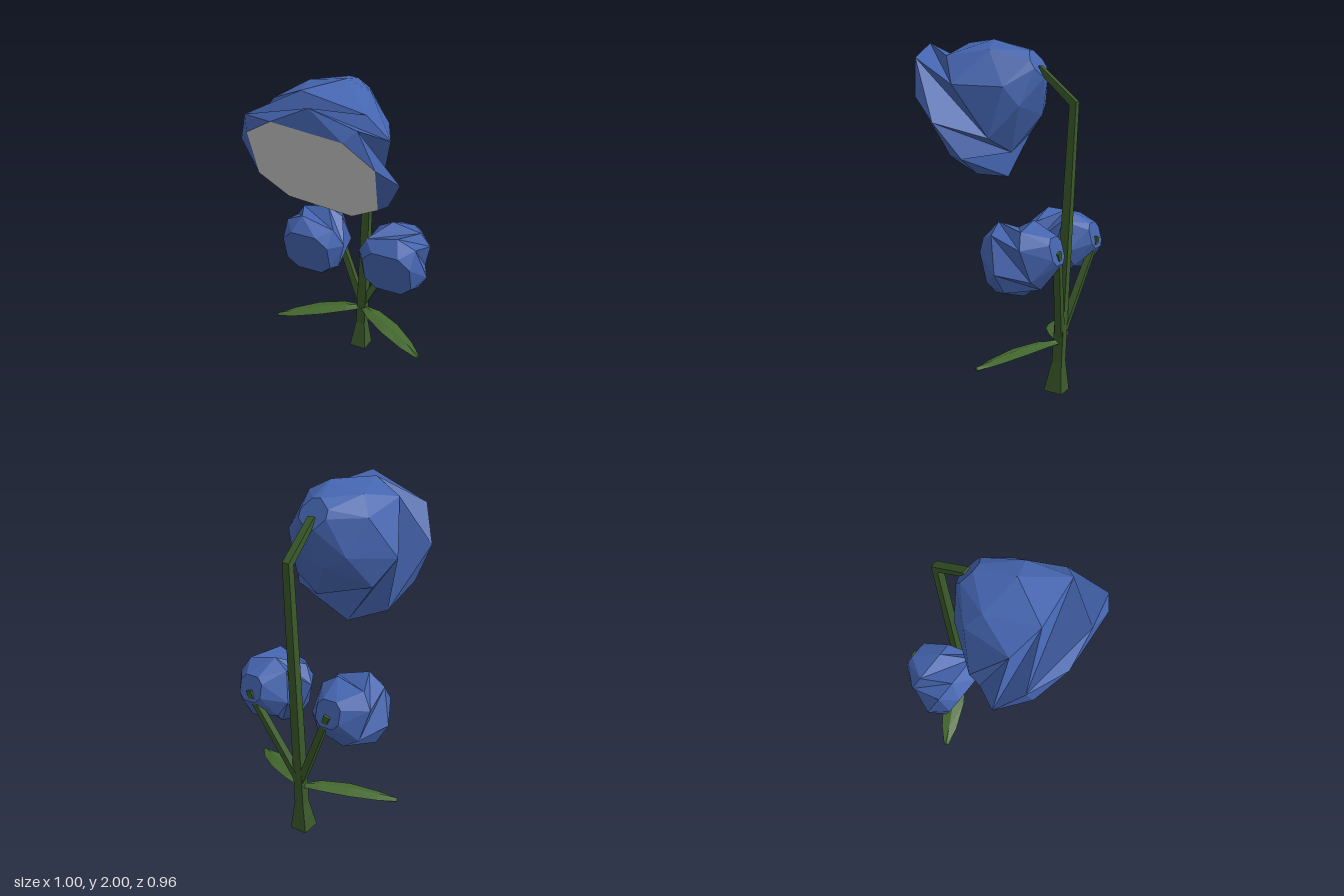
import * as THREE from 'three';

const mat = (color) => new THREE.MeshStandardMaterial({ color, flatShading: true, side: THREE.DoubleSide });
const blue = mat(0x4565b0), green = mat(0x3b5a2a), leafGreen = mat(0x44682f), grey = mat(0xcccccc);
const V = (x, y, z) => new THREE.Vector3(x, y, z);

// Skin a list of equal-length point rings; flip reverses the winding for mirrored parts
function loft(rings, { start = true, end = true, flip = false } = {}) {
  const pos = [];
  const tri = (a, b, c) => (flip ? [a, c, b] : [a, b, c]).forEach((p) => pos.push(p.x, p.y, p.z));
  const n = rings[0].length;
  for (let k = 0; k < rings.length - 1; k++) {
    const a = rings[k], b = rings[k + 1];
    for (let i = 0; i < n; i++) {
      const j = (i + 1) % n;
      tri(a[i], a[j], b[j]);
      tri(a[i], b[j], b[i]);
    }
  }
  const first = rings[0], last = rings[rings.length - 1];
  for (let i = 1; i < n - 1; i++) {
    if (start) tri(first[0], first[i + 1], first[i]);
    if (end) tri(last[0], last[i], last[i + 1]);
  }
  const g = new THREE.BufferGeometry();
  g.setAttribute('position', new THREE.Float32BufferAttribute(pos, 3));
  g.computeVertexNormals();
  return g;
}

// Four-petal ring: eight corners in pairs, turned by "turn" degrees, at depth z
function petalRing([z, r, turn], side = 1) {
  const pts = [];
  for (let p = 0; p < 4; p++) {
    for (const half of [-16.4, 16.4]) {
      const t = THREE.MathUtils.degToRad(turn + p * 90 + half);
      pts.push(V(side * r * Math.cos(t), r * Math.sin(t), z));
    }
  }
  return pts;
}

// Four-sided bar along a path; each station is [point, half width, half height]
function bar(stations, ref, corners) {
  const pts = stations.map((s) => s[0]);
  const rings = stations.map(([p, w, h], i) => {
    const before = pts[Math.max(i - 1, 0)], after = pts[Math.min(i + 1, pts.length - 1)];
    const d = V(0, 0, 0);
    if (before !== p) d.add(p.clone().sub(before).normalize());
    if (after !== p) d.add(after.clone().sub(p).normalize());
    d.normalize();
    const u = ref.clone().addScaledVector(d, -ref.dot(d)).normalize();
    const v = d.clone().cross(u);
    return corners.map(([a, b]) => p.clone().addScaledVector(u, a * w).addScaledVector(v, b * h));
  });
  return loft(rings);
}
const SQUARE = [[1, 1], [-1, 1], [-1, -1], [1, -1]];
const DIAMOND = [[1, 0], [0, 1], [-1, 0], [0, -1]];

export function createModel() {
  const model = new THREE.Group();
  const add = (parent, name, geometry, material) => {
    const m = new THREE.Mesh(geometry, material);
    m.name = name;
    parent.add(m);
    return m;
  };

  // Main stem with a flared foot and a bent neck
  add(model, 'mainStem', bar([
    [V(0, 0.005, -0.337), 0.055, 0.055],
    [V(0, 0.18, -0.35), 0.03, 0.03],
    [V(0, 1.65, -0.425), 0.022, 0.022],
    [V(0, 1.845, -0.215), 0.022, 0.015],
  ], V(1, 0, 0), SQUARE), green);

  // Large open flower, nodding forward
  const flower = new THREE.Group();
  flower.name = 'flower';
  flower.position.set(0, 1.86, -0.2);
  flower.rotation.x = Math.PI / 6;
  const rings = [
    [-0.01, 0.09, 40 + 45],
    [0.135, 0.25, 59],
    [0.345, 0.365, 28],
    [0.505, 0.45, 65],
    [0.572, 0.396, 36],
  ].map((r) => petalRing(r));
  add(flower, 'petals', loft(rings, { end: false }), blue);
  add(flower, 'flowerOpening', loft([rings[4], rings[4]], { start: false }), grey);
  model.add(flower);

  for (const s of [1, -1]) {
    const side = s > 0 ? 'left' : 'right';

    // Closed bud
    const bud = add(model, side + 'Bud', loft([
      [-0.01, 0.085, 45],
      [0.11, 0.19, 32],
      [0.27, 0.222, 62],
      [0.365, 0.172, 45],
    ].map((r) => petalRing(r, s)), { flip: s < 0 }), blue);
    bud.position.set(s * 0.268, 0.882, -0.445);
    bud.rotation.x = 0.26;

    // Bud stem
    add(model, side + 'BudStem', bar([
      [V(0, 0.32, -0.355), 0.022, 0.022],
      [V(s * 0.262, 0.85, -0.455), 0.018, 0.018],
      [V(s * 0.27, 0.875, -0.455), 0.018, 0.018],
    ], V(1, 0, 0), SQUARE), green);

    // Leaf, arching outward and down
    const leaf = [
      [0, 0.295, 0.02], [0.2, 0.302, 0.055], [0.5, 0.288, 0.068], [0.8, 0.262, 0.048], [1, 0.242, 0.015],
    ].map(([t, y, w]) => [V(s * 0.495 * t, y, -0.355 + 0.262 * t), w, 0.014]);
    add(model, side + 'Leaf', bar(leaf, V(0.47, 0, -0.88 * s), DIAMOND), leafGreen);
  }
  return model;
}
